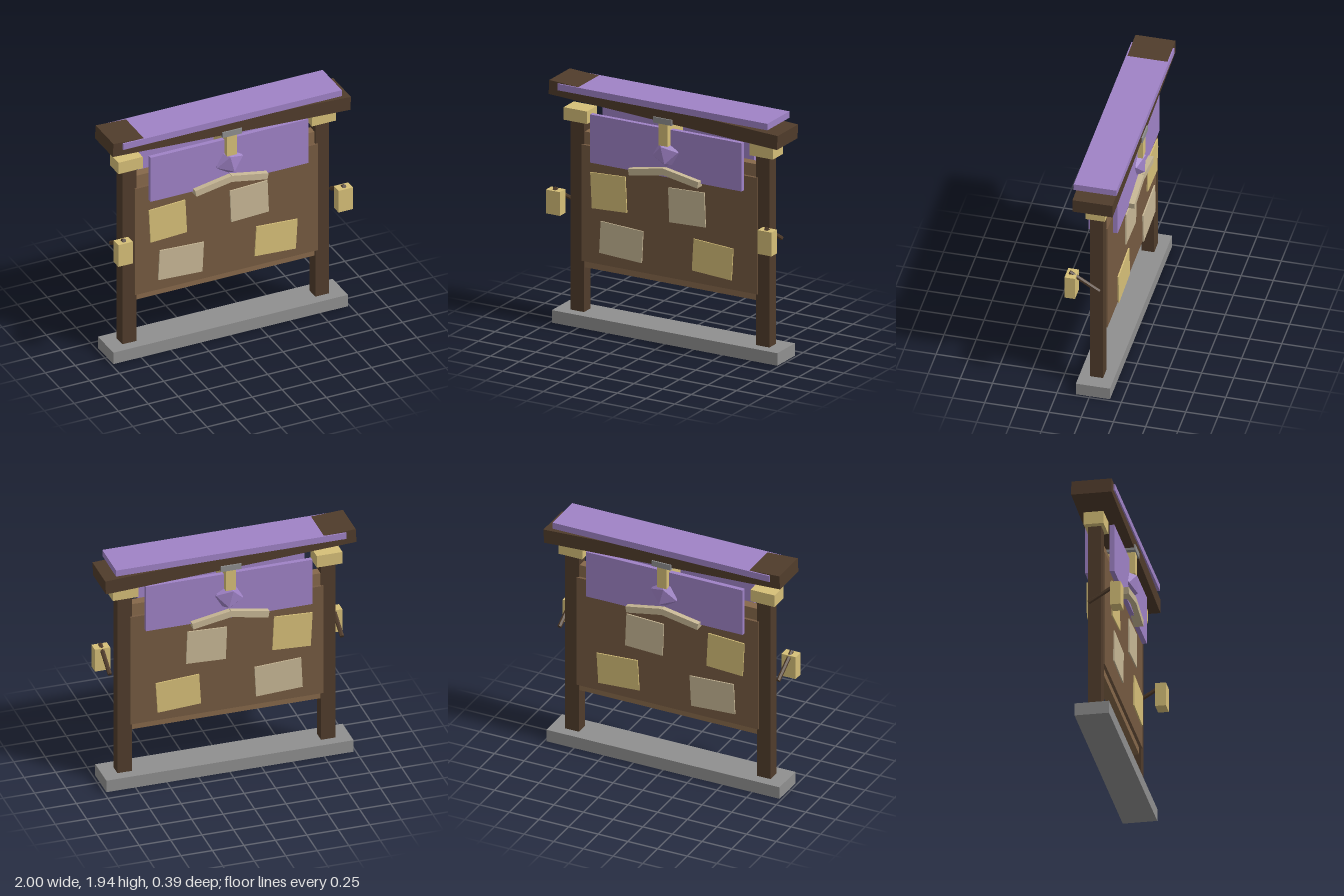
import * as THREE from 'three';

const MID = -0.025; // z of the board's middle plane

const mat = (color) => new THREE.MeshStandardMaterial({ color, flatShading: true });
const darkWood = mat(0x503c2b);
const boardWood = mat(0x755a41);
const frameWood = mat(0x86684a);
const yellow = mat(0xd6bf78);
const tan = mat(0xc7b795);
const purple = mat(0x9f82c6);
const grey = mat(0x8f8f8f);

export function createModel() {
  const group = new THREE.Group();

  const add = (name, geometry, material, x, y, z, rz = 0) => {
    const mesh = new THREE.Mesh(geometry, material);
    mesh.name = name;
    mesh.position.set(x, y, z);
    mesh.rotation.z = rz;
    group.add(mesh);
    return mesh;
  };
  const box = (name, material, w, h, d, x, y, z = MID, rz = 0) =>
    add(name, new THREE.BoxGeometry(w, h, d), material, x, y, z, rz);

  // Base slab and notice board
  box('base', grey, 1.965, 0.1, 0.265, 0, 0.05);
  box('boardFrame', frameWood, 1.52, 1.085, 0.075, 0, 0.997);
  box('board', boardWood, 1.535, 0.93, 0.121, 0, 0.975);

  // Posts, caps and side lanterns
  for (const s of [-1, 1]) {
    box('post', darkWood, 0.116, 1.515, 0.1, s * 0.808, 0.857);
    box('postCap', yellow, 0.203, 0.1, 0.152, s * 0.81, 1.667);
    box('lantern', yellow, 0.122, 0.19, 0.082, s * 0.922, 0.995, 0.155);
    const rod = add('lanternRod', new THREE.CylinderGeometry(0.017, 0.017, 0.27, 6),
      darkWood, s * 0.922, 1.03, 0.055);
    rod.rotation.x = 1.02;
  }

  // Crooked roof beam with a level plank on top
  box('roofBeam', darkWood, 1.992, 0.112, 0.31, 0, 1.838, MID, -0.05);
  box('roofPlank', purple, 1.83, 0.052, 0.333, 0, 1.905);

  // Hanger carrying the ornament
  box('hangerBracket', grey, 0.162, 0.046, 0.33, 0, 1.79);
  box('hanger', yellow, 0.082, 0.2, 0.312, 0, 1.69);

  // Papers: x, y, width, height, tilt, material
  const papers = [
    [-0.508, 1.112, 0.305, 0.285, 0.05, yellow],
    [0.174, 1.112, 0.315, 0.275, 0.04, tan],
    [-0.398, 0.735, 0.37, 0.255, -0.05, tan],
    [0.398, 0.735, 0.345, 0.255, -0.06, yellow],
  ];

  // Same decoration on the front and back faces
  for (const f of [1, -1]) {
    box('headerPanel', purple, 1.32, 0.385, 0.036, 0, 1.522, MID + f * 0.095);
    const gem = add('gem', new THREE.IcosahedronGeometry(0.132), purple,
      0, 1.515, MID + f * 0.053, 0.25);
    gem.rotation.order = 'ZYX';
    for (const s of [-1, 1]) {
      box('wingBar', tan, 0.31, 0.052, 0.072, s * 0.15, 1.356, MID + f * 0.12, -s * 0.18);
    }
    for (const [x, y, w, h, tilt, material] of papers) {
      box('paper', material, w, h, 0.01, x, y, MID + f * 0.095, tilt);
    }
  }

  return group;
}
